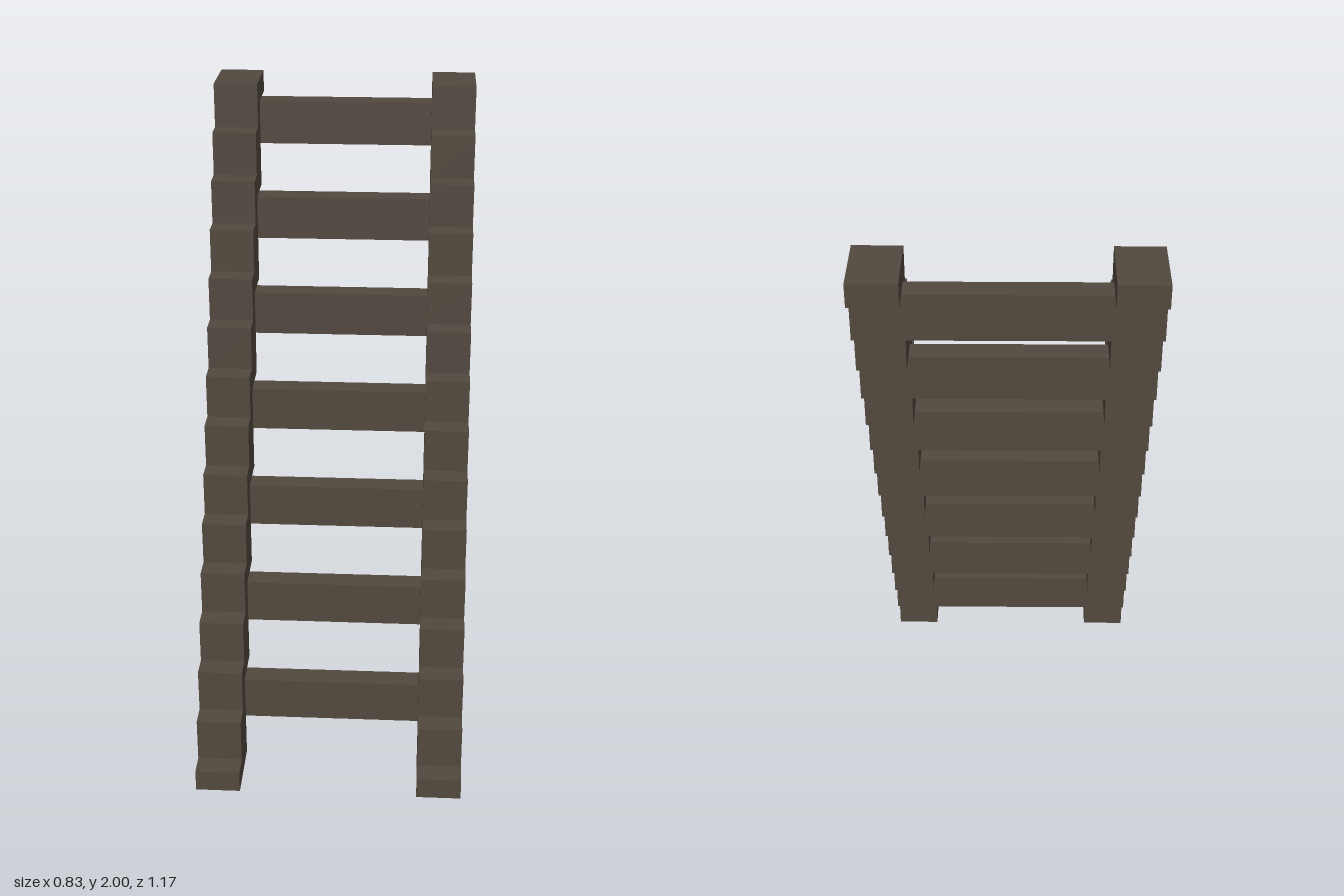
import * as THREE from 'three';

const U = 2 / 29; // one block unit
const STEPS = 15;
const HEIGHT = 29;

export function createModel() {
  const model = new THREE.Group();
  model.name = 'ladder';
  const wood = new THREE.MeshStandardMaterial({ color: 0x52483e });
  wood.name = 'dark wood';

  // Stepped side profile of a rail, as (z, y) in block units
  const points = [];
  for (let k = 0; k < STEPS; k++) { // back edge, going up
    points.push([5.5 - k, 2 * k], [5.5 - k, Math.min(2 * k + 2, HEIGHT)]);
  }
  for (let k = STEPS - 1; k >= 0; k--) { // front edge, going down
    points.push([8.5 - k, 2 * k + 1], [8.5 - k, Math.max(2 * k - 1, 0)]);
  }
  const profile = new THREE.Shape(points.map(([z, y]) => new THREE.Vector2(z * U, y * U)));
  const railGeometry = new THREE.ExtrudeGeometry(profile, { depth: 2 * U, bevelEnabled: false });
  railGeometry.translate(0, 0, -U);
  railGeometry.rotateY(-Math.PI / 2); // profile x becomes z

  // Side rails
  for (const side of [-1, 1]) {
    const rail = new THREE.Mesh(railGeometry, wood);
    rail.name = side > 0 ? 'leftRail' : 'rightRail';
    rail.position.x = side * 5 * U;
    model.add(rail);
  }

  // Rungs, flush with the back of the rails on every second step
  const rungGeometry = new THREE.BoxGeometry(8 * U, 2 * U, U);
  for (let i = 0; i < 7; i++) {
    const rung = new THREE.Mesh(rungGeometry, wood);
    rung.name = `rung${i + 1}`;
    rung.position.set(0, (3 + 4 * i) * U, (5 - 2 * i) * U);
    model.add(rung);
  }
  return model;
}
